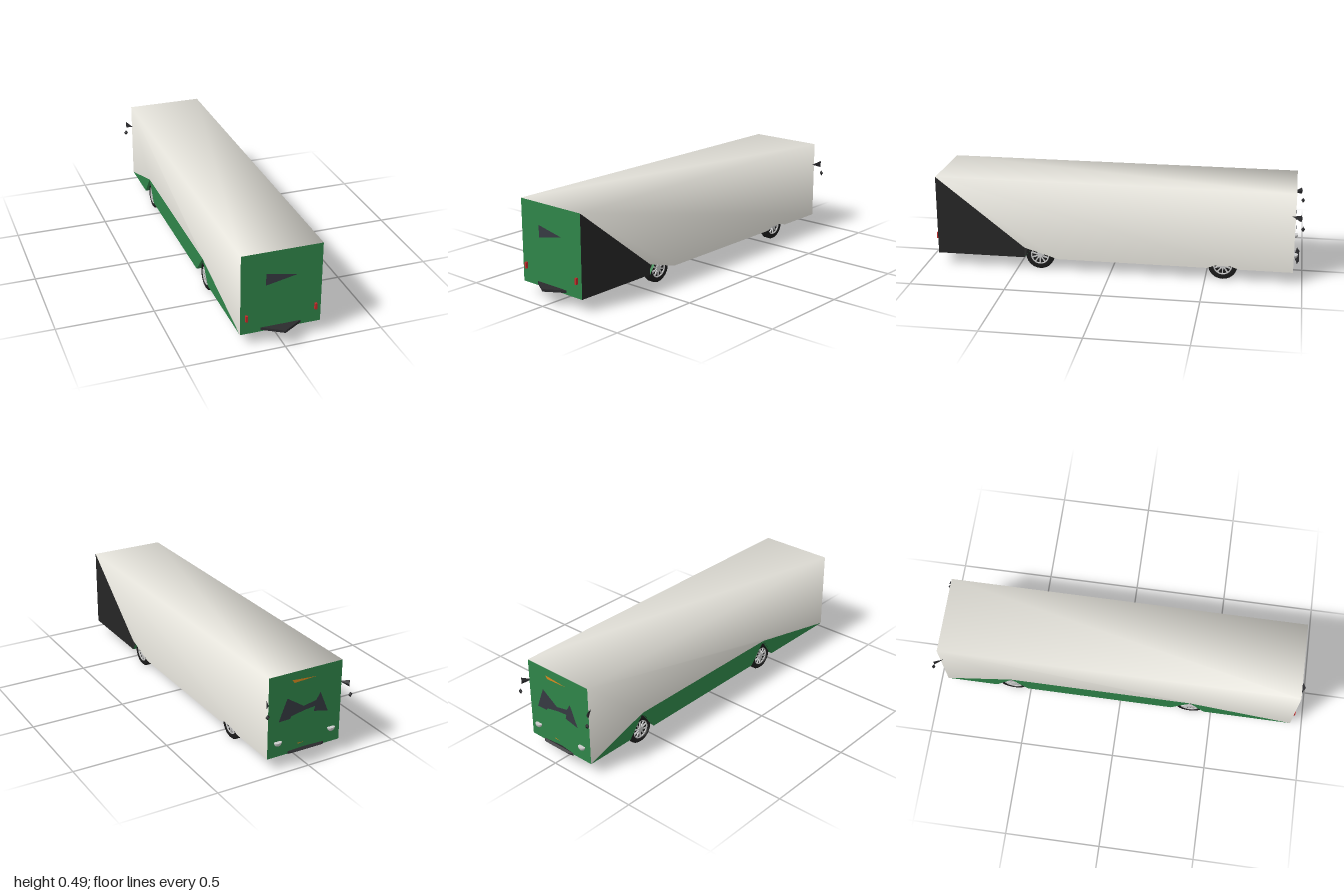
import * as THREE from 'three';
import { mergeGeometries, mergeVertices } from 'three/addons/utils/BufferGeometryUtils.js';
import { ConvexGeometry } from 'three/addons/geometries/ConvexGeometry.js';

const W = 0.205, TOP = 0.49, FLOOR = 0.065, FRONT = -0.952, REAR = 0.932;
const AXLES = [-0.59, 0.38];

const paint = (color, flat = false) =>
  new THREE.MeshStandardMaterial({ color, side: THREE.DoubleSide, flatShading: flat });
const white = paint(0xe6e4dc);
const green = paint(0x2f8549);
const black = paint(0x262626);
const glass = paint(0x363a42);
const rubber = paint(0x1c1c1c);
const metal = paint(0xcccccc);
const red = paint(0xc42a2a);
const trim = paint(0x2b2b2e, true);
const amber = paint(0xd98a1e);

function add(parent, name, geometry, material) {
  const mesh = new THREE.Mesh(geometry, material);
  mesh.name = name;
  parent.add(mesh);
  return mesh;
}

const flat = pts => new THREE.ShapeGeometry(new THREE.Shape(pts.map(p => new THREE.Vector2(...p))));
// Panels given as [z, y] for the sides and [x, y] for the ends
const leftSide = (pts, x = W) =>
  flat(pts.map(([z, y]) => [-z, y])).rotateY(Math.PI / 2).translate(x, 0, 0);
const rightSide = (pts, x = -W) => flat(pts).rotateY(-Math.PI / 2).translate(x, 0, 0);
const rearEnd = (pts, z = REAR) => flat(pts).translate(0, 0, z);
const frontEnd = (pts, z = FRONT) =>
  flat(pts.map(([x, y]) => [-x, y])).rotateY(Math.PI).translate(0, 0, z);

const hull = pts => new ConvexGeometry(pts.map(p => new THREE.Vector3(...p)));

// Strip across the full width following a [z, y] line
function acrossStrip(line) {
  const parts = [];
  for (let i = 0; i + 1 < line.length; i++) {
    const [z0, y0] = line[i], [z1, y1] = line[i + 1];
    const g = new THREE.PlaneGeometry(2 * W, Math.hypot(z1 - z0, y1 - y0));
    g.rotateX(Math.PI / 2).rotateX(-Math.atan2(y1 - y0, z1 - z0));
    parts.push(g.translate(0, (y0 + y1) / 2, (z0 + z1) / 2));
  }
  return mergeGeometries(parts);
}

function buildBody() {
  const body = new THREE.Group();
  body.name = 'body';

  // Roof and upper sides share smooth normals
  const roof = new THREE.PlaneGeometry(2 * W, REAR - FRONT).rotateX(-Math.PI / 2)
    .translate(0, TOP, (REAR + FRONT) / 2);
  const left = leftSide([[REAR, TOP], [0.46, 0.12], [0.28, FLOOR], [-0.51, FLOOR],
    [-0.55, 0.08], [-0.63, 0.08], [-0.68, FLOOR], [FRONT, FLOOR], [FRONT, TOP]]);
  const right = rightSide([[FRONT, TOP], [FRONT, FLOOR], [-0.59, 0.18], [0.38, 0.178],
    [REAR, FLOOR], [REAR, TOP]]);
  const pieces = [roof, left, right];
  pieces.forEach(g => { g.deleteAttribute('normal'); g.deleteAttribute('uv'); });
  const shell = mergeVertices(mergeGeometries(pieces), 1e-4);
  shell.computeVertexNormals();
  add(body, 'shell', shell, white);

  add(body, 'darkSidePanel',
    leftSide([[REAR, TOP], [REAR, FLOOR], [0.46, FLOOR], [0.46, 0.12]]), black);

  // Lower skirt, broken by the wheel arches
  const skirt = [
    [[FRONT, FLOOR], [-0.59, 0.18], [-0.68, FLOOR]],
    [[-0.51, FLOOR], [-0.59, 0.18], [0.38, 0.178], [0.28, FLOOR]],
    [[0.38, 0.178], [REAR, FLOOR], [0.46, FLOOR]],
  ];
  add(body, 'skirt', mergeGeometries(skirt.map(p => rightSide(p))), green);

  // End walls
  const wall = [[-W, FLOOR], [W, FLOOR], [W, TOP], [-W, TOP]];
  add(body, 'rearWall', rearEnd(wall), green);
  add(body, 'frontWall', frontEnd(wall), green);

  // Underside and the wheel wells between its sections
  const floors = [[FRONT, -0.68], [-0.51, 0.28], [0.46, REAR]];
  add(body, 'floor',
    mergeGeometries(floors.map(([a, b]) => acrossStrip([[a, FLOOR], [b, FLOOR]]))), black);
  add(body, 'wheelWells', mergeGeometries([
    acrossStrip([[-0.68, FLOOR], [-0.59, 0.178], [-0.51, FLOOR]]),
    acrossStrip([[0.28, FLOOR], [0.38, 0.176], [0.46, FLOOR]]),
  ]), green);
  return body;
}

function buildWheel(side) {
  const wheel = new THREE.Group();
  wheel.name = 'wheel';
  const profile = [[0.05, -0.021], [0.069, -0.021], [0.076, -0.014], [0.076, 0.014],
    [0.069, 0.021], [0.05, 0.021], [0.05, -0.021]].map(p => new THREE.Vector2(...p));
  add(wheel, 'tyre', new THREE.LatheGeometry(profile, 24).rotateZ(Math.PI / 2), rubber);
  add(wheel, 'backPlate',
    new THREE.CylinderGeometry(0.051, 0.051, 0.026, 24).rotateZ(Math.PI / 2), rubber);
  const rim = [new THREE.TorusGeometry(0.047, 0.004, 6, 24).rotateY(Math.PI / 2),
    new THREE.CylinderGeometry(0.015, 0.015, 0.01, 12).rotateZ(Math.PI / 2)];
  for (let i = 0; i < 10; i++) {
    rim.push(new THREE.BoxGeometry(0.006, 0.036, 0.007).translate(0, 0.03, 0)
      .rotateX(i * Math.PI / 5));
  }
  add(wheel, 'rim', mergeGeometries(rim), metal).position.x = side * 0.017;
  return wheel;
}

export function createModel() {
  const bus = new THREE.Group();
  bus.name = 'bus';
  bus.add(buildBody());

  for (const side of [-1, 1]) {
    for (const z of AXLES) {
      const wheel = buildWheel(side);
      wheel.position.set(side * 0.169, 0.076, z);
      bus.add(wheel);
    }

    // Tail lamps and headlamps
    add(bus, 'tailLamp', new THREE.BoxGeometry(0.011, 0.032, 0.012), red)
      .position.set(side * 0.176, 0.154, 0.94);
    const lamp = new THREE.SphereGeometry(0.021, 14, 8, 0, Math.PI * 2, Math.PI / 2, Math.PI / 2);
    const head = add(bus, 'headlamp', lamp, metal);
    head.scale.z = 0.6;
    head.position.set(side * 0.152, 0.147, -0.96);
    add(bus, 'headlampTop', new THREE.CircleGeometry(0.021, 14).rotateX(-Math.PI / 2), metal)
      .position.copy(head.position);
    bus.children.at(-1).scale.z = 0.6;

    // Wedge mirror with a small diamond mirror below
    add(bus, 'mirror', hull([[side * W, 0.37, -0.935], [side * 0.233, 0.388, -0.98],
      [side * 0.233, 0.352, -0.98], [side * 0.225, 0.37, -0.985]]), trim);
    const small = add(bus, 'lowerMirror', new THREE.OctahedronGeometry(0.015), trim);
    small.scale.set(0.8, 1, 0.65);
    small.position.set(side * 0.233, 0.315, -0.99);
  }

  // Rear window and bumper
  add(bus, 'rearWindow', rearEnd([[-0.08, 0.315], [0.078, 0.347], [-0.08, 0.378]], 0.936), glass);
  const rearBumper = [];
  for (const y of [0.075, 0.088]) rearBumper.push([-0.102, y, 0.935], [0.102, y, 0.935], [0, y, 0.998]);
  add(bus, 'rearBumper', hull(rearBumper), trim);

  // Windscreen, sign, plate and front bumper
  add(bus, 'windscreen', frontEnd([[0.104, 0.364], [0.01, 0.302], [-0.06, 0.316], [-0.083, 0.352],
    [-0.129, 0.242], [-0.048, 0.26], [-0.055, 0.285], [0, 0.28], [0.08, 0.265], [0.085, 0.253],
    [0.149, 0.251]], -0.957), glass);
  add(bus, 'routeSign', frontEnd([[0.079, 0.453], [0.068, 0.436], [-0.058, 0.442]], -0.957), amber);
  add(bus, 'plate', frontEnd([[0.04, 0.113], [0.035, 0.106], [0.005, 0.109]], -0.957), amber);
  add(bus, 'frontBumper', hull([[-0.102, 0.075, -0.97], [0.102, 0.075, -0.97],
    [-0.102, 0.09, -0.97], [0.102, 0.09, -0.97], [-0.075, 0.082, -0.982],
    [0.075, 0.082, -0.982], [0, 0.082, -0.953]]), trim);
  return bus;
}
